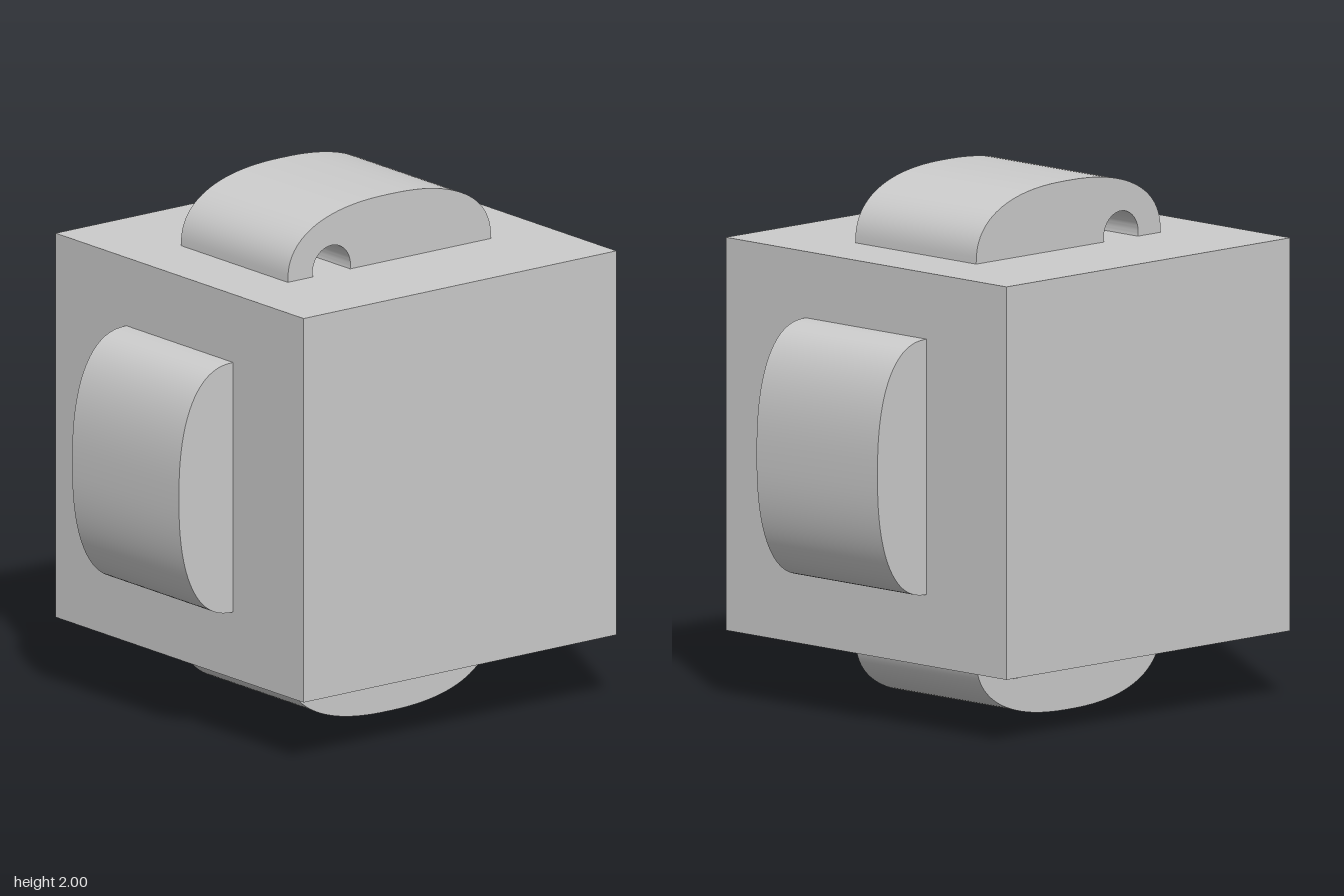
import * as THREE from 'three';
import { toCreasedNormals } from 'three/addons/utils/BufferGeometryUtils.js';

const HALF = 0.743;        // half side of the cube
const DEPTH = 0.64;        // length of each lug along z
const LUG = { half: 0.483, height: 0.257, power: 2.4 };

const material = new THREE.MeshStandardMaterial({ color: 0xcccccc });

// Domed lug standing on y = 0, optionally with a round channel cut through its base
function lugGeometry(withChannel) {
  const shape = new THREE.Shape();
  const steps = 48;
  shape.moveTo(LUG.half, 0);
  for (let i = 1; i <= steps; i++) {
    const a = (Math.PI * i) / steps;
    const c = i === steps ? -1 : Math.cos(a);
    const s = i === steps ? 0 : Math.sin(a);
    shape.lineTo(
      LUG.half * Math.sign(c) * Math.abs(c) ** (2 / LUG.power),
      LUG.height * s ** (2 / LUG.power)
    );
  }
  if (withChannel) {
    const r = 0.09, lift = 0.017, dip = Math.asin(lift / r);
    shape.absarc(-0.275, lift, r, Math.PI + dip, -dip, true);
  }
  shape.closePath();
  const geometry = new THREE.ExtrudeGeometry(shape, {
    depth: DEPTH, bevelEnabled: false, curveSegments: 24,
  });
  geometry.translate(0, 0, -DEPTH / 2);
  return toCreasedNormals(geometry, 0.6);
}

export function createModel() {
  const model = new THREE.Group();
  model.name = 'cubeWithLugs';

  // Main block
  const cube = new THREE.Mesh(new THREE.BoxGeometry(2 * HALF, 2 * HALF, 2 * HALF), material);
  cube.name = 'cube';
  cube.position.y = 1;
  model.add(cube);

  // One lug on each of the four faces around the z axis
  const channelled = lugGeometry(true);
  const plain = lugGeometry(false);
  ['topLug', 'rightLug', 'bottomLug', 'leftLug'].forEach((name, i) => {
    const turn = (i * Math.PI) / 2;
    const lug = new THREE.Mesh(i % 2 ? plain : channelled, material);
    lug.name = name;
    lug.rotation.z = turn;
    lug.position.set(-Math.sin(turn) * HALF, 1 + Math.cos(turn) * HALF, 0);
    // side lugs sit slightly off the middle
    if (i % 2) lug.position.y += i === 1 ? -0.004 : 0.009;
    model.add(lug);
  });

  return model;
}
